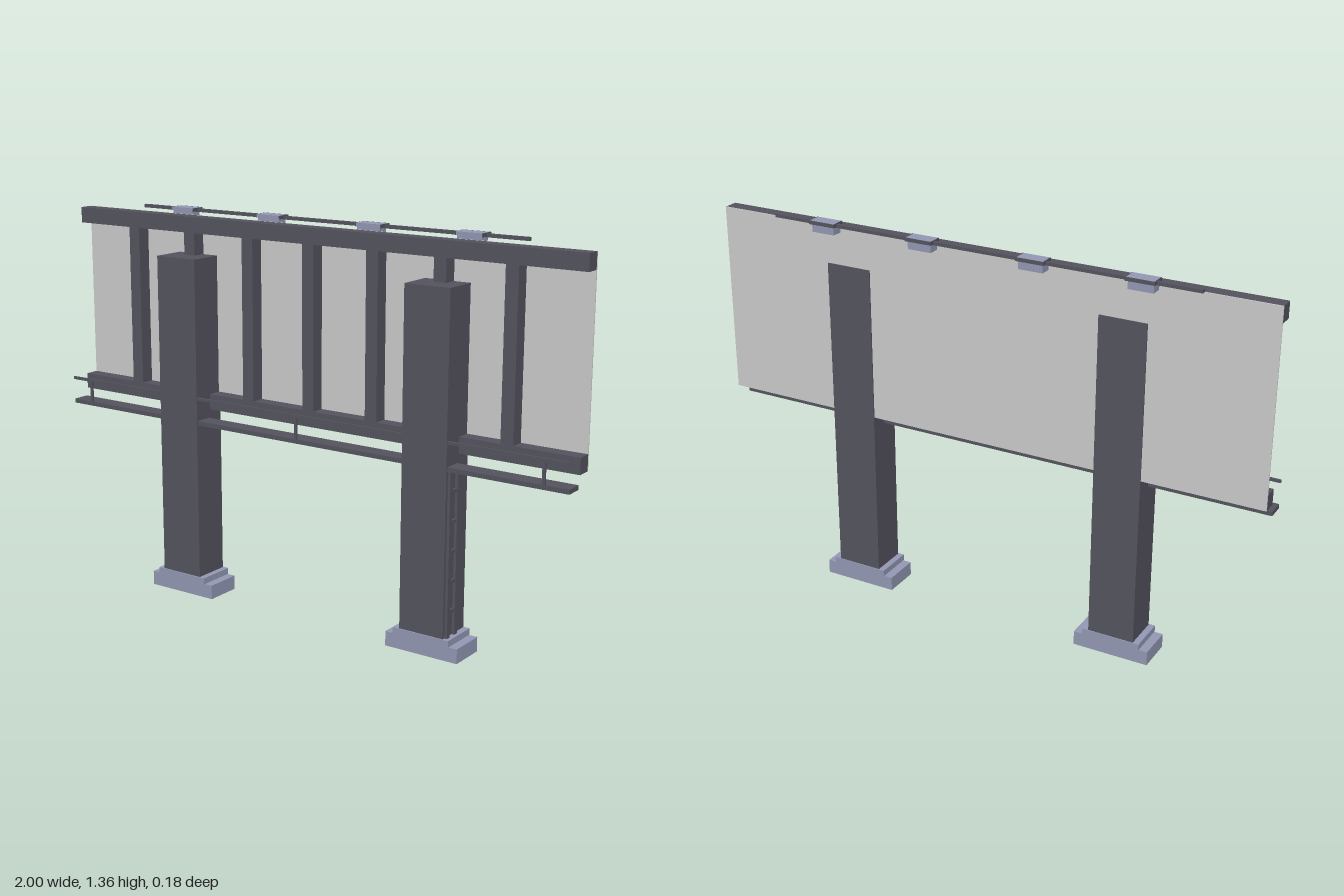
import * as THREE from 'three';

export function createModel() {
  const model = new THREE.Group();
  model.name = 'billboard';

  const mat = (name, color) => {
    const m = new THREE.MeshStandardMaterial({ color });
    m.name = name;
    return m;
  };
  const steel = mat('darkSteel', 0x55545f);
  const concrete = mat('blueGrey', 0x9499b5);
  const board = mat('boardGrey', 0xcccccc);

  // Box given by its extents on each axis
  const box = (name, material, [x0, x1], [y0, y1], [z0, z1], parent = model) => {
    const mesh = new THREE.Mesh(new THREE.BoxGeometry(x1 - x0, y1 - y0, z1 - z0), material);
    mesh.position.set((x0 + x1) / 2, (y0 + y1) / 2, (z0 + z1) / 2);
    mesh.name = name;
    parent.add(mesh);
    return mesh;
  };
  const around = (c, w) => [c - w / 2, c + w / 2];
  const group = (name) => {
    const g = new THREE.Group();
    g.name = name;
    model.add(g);
    return g;
  };

  // Two square columns on stepped footings
  for (const x of [-0.5, 0.5]) {
    const g = group('column');
    box('footing', concrete, around(x, 0.27), [0, 0.05], [-0.044, 0.086], g);
    box('footingStep', concrete, around(x, 0.208), [0.05, 0.072], [-0.047, 0.09], g);
    box('post', steel, around(x, 0.164), [0.072, 1.203], [-0.044, 0.086], g);
  }

  // Display panel and its frame
  const frame = group('displayFrame');
  const depth = [-0.036, 0.013];
  box('panel', board, [-1, 1], [0.67, 1.335], [-0.04, -0.036], frame);
  box('topBeam', steel, [-1, 1], [1.28, 1.335], depth, frame);
  box('bottomBeam', steel, [-1, 1], [0.67, 0.724], depth, frame);
  for (let i = -3; i <= 3; i++) {
    box('upright', steel, around(i * 0.25, 0.045), [0.724, 1.28], [-0.036, 0.012], frame);
  }

  // Service walkway with a thin guard rail
  const walkway = group('walkway');
  box('walkwayDeck', steel, [-1, 1], [0.626, 0.641], [0.02, 0.081], walkway);
  box('guardRail', steel, [-1, 1], [0.715, 0.725], [0.077, 0.084], walkway);
  for (const x of [-0.915, 0, 0.915]) {
    box('railStanchion', steel, around(x, 0.01), [0.641, 0.715], [0.077, 0.084], walkway);
  }

  // Ladder up the outer side of one column
  const ladder = group('ladder');
  for (const z of [0.0225, 0.0685]) {
    box('ladderRail', steel, [0.582, 0.592], [0.072, 0.628], around(z, 0.016), ladder);
  }
  for (let i = 0; i < 5; i++) {
    box('rung', steel, [0.582, 0.59], around(0.157 + i * 0.1, 0.012), [0.03, 0.061], ladder);
  }

  // Lamp bar along the top, with four lamps
  const lights = group('lighting');
  box('lampBar', steel, [-0.765, 0.765], [1.343, 1.354], [-0.075, -0.061], lights);
  for (const x of [-0.57, -0.2, 0.2, 0.57]) {
    box('lampBody', concrete, around(x, 0.085), [1.317, 1.345], [-0.08, -0.04], lights);
    box('lampCap', concrete, around(x, 0.092), [1.345, 1.357], [-0.086, -0.038], lights);
    box('lampBackTrim', steel, around(x, 0.098), [1.345, 1.357], [-0.089, -0.086], lights);
    for (const s of [-1, 1]) {
      box('lampEndTrim', steel, around(x + s * 0.0475, 0.003), [1.345, 1.357], [-0.086, -0.038], lights);
    }
  }

  return model;
}
